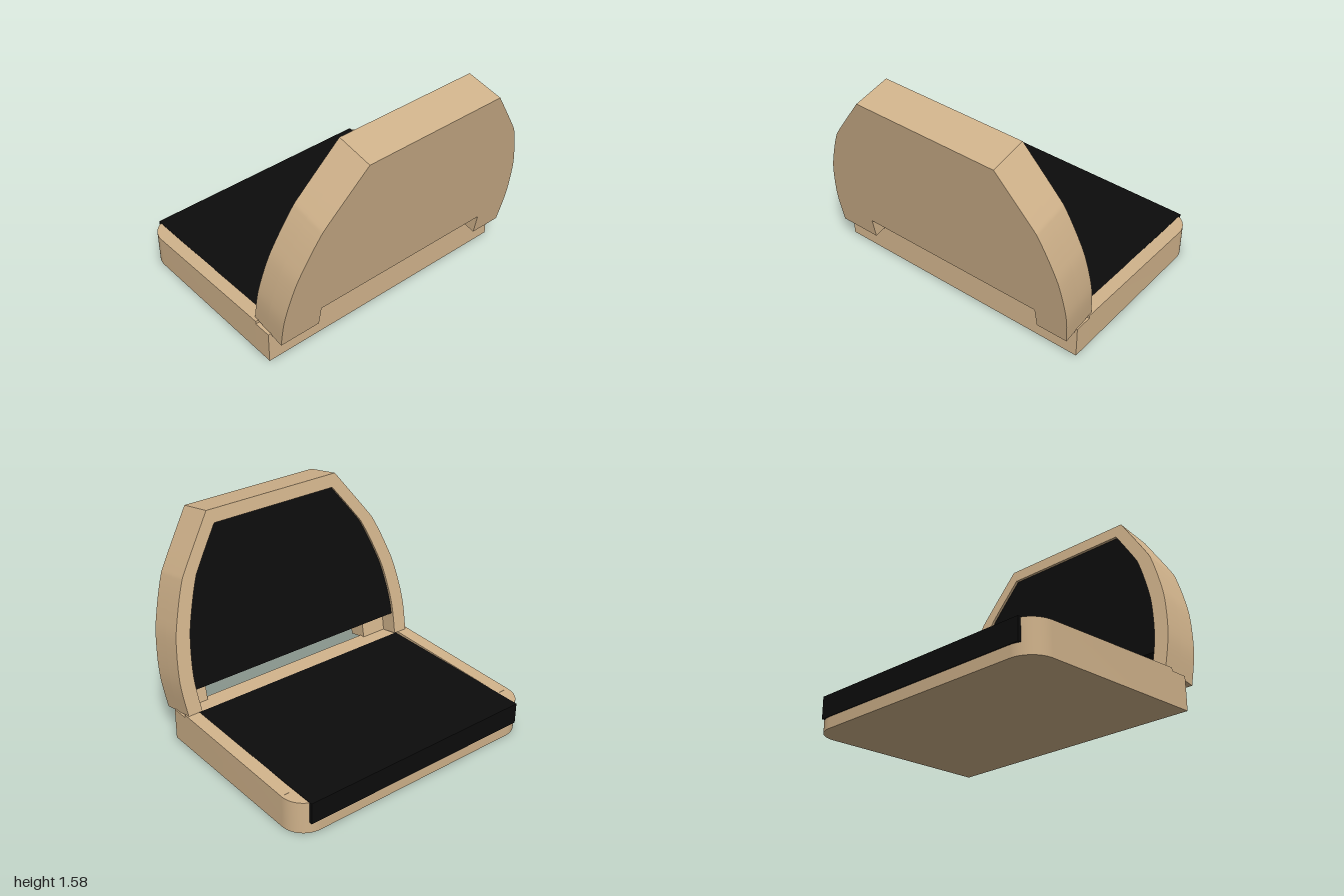
import * as THREE from 'three';
import { toCreasedNormals } from 'three/addons/utils/BufferGeometryUtils.js';

const wood = new THREE.MeshStandardMaterial({ color: 0xd2b48c });
const black = new THREE.MeshStandardMaterial({ color: 0x0c0c0c });

// Half width of the backrest against its height
const profile = new THREE.SplineCurve([
  [0.972, 0], [0.983, 0.25], [0.95, 0.52], [0.9, 0.7],
  [0.825, 0.9], [0.768, 1.0], [0.535, 1.335],
].map(([h, v]) => new THREE.Vector2(h, v)));

// Arched outline, leaning slightly sideways, optionally inset and cut off at top and bottom
function arch(inset, bottom, top) {
  const side = profile.getPoints(36).filter((p) => p.y > bottom && p.y < top);
  const at = (v) => {
    const pts = profile.getPoints(200);
    return pts.reduce((a, b) => (Math.abs(b.y - v) < Math.abs(a.y - v) ? b : a)).x;
  };
  const half = [[at(bottom), bottom], ...side.map((p) => [p.x, p.y]), [at(top), top]];
  const point = (s) => ([h, v]) => new THREE.Vector2(s * (h - inset) - 0.006 - 0.043 * v, v);
  return [...half.map(point(1)), ...half.map(point(-1)).reverse()];
}

// Extrude a (z, y) outline so that it fills x from x0 to x1
function slab(name, points, x0, x1, material) {
  const geo = new THREE.ExtrudeGeometry(new THREE.Shape(points), { depth: x1 - x0, bevelEnabled: false });
  geo.rotateY(-Math.PI / 2).translate(x1, 0, 0);
  const mesh = new THREE.Mesh(toCreasedNormals(geo, 0.4), material);
  mesh.name = name;
  return mesh;
}

// Extrude an (x, y) outline along z, centred on z
function bar(name, points, width, z, material) {
  const shape = new THREE.Shape(points.map(([x, y]) => new THREE.Vector2(x, y)));
  const geo = new THREE.ExtrudeGeometry(shape, { depth: width, bevelEnabled: false });
  geo.translate(0, 0, z - width / 2);
  const mesh = new THREE.Mesh(geo, material);
  mesh.name = name;
  return mesh;
}

function createSeat() {
  const seat = new THREE.Group();
  seat.name = 'seat';

  // Board with rounded front corners
  const x0 = -0.862, x1 = 0.53, w = 0.988, r = 0.17;
  const plan = new THREE.Shape();
  plan.moveTo(x1, -w);
  plan.lineTo(x1, w);
  plan.lineTo(x0 + r, w);
  plan.absarc(x0 + r, w - r, r, Math.PI / 2, Math.PI, false);
  plan.lineTo(x0, -w + r);
  plan.absarc(x0 + r, -w + r, r, Math.PI, Math.PI * 1.5, false);
  const geo = new THREE.ExtrudeGeometry(plan, { depth: 0.231, bevelEnabled: false, curveSegments: 12 });
  geo.rotateX(-Math.PI / 2);
  const board = new THREE.Mesh(toCreasedNormals(geo, 0.4), wood);
  board.name = 'seatBoard';
  seat.add(board);

  // Cushion wrapping over the front edge
  seat.add(bar('seatCushion', [
    [-0.868, 0.08], [-0.83, 0.08], [-0.83, 0.2], [0.39, 0.2], [0.39, 0.235], [-0.868, 0.235],
  ], 1.78, 0, black));

  // Side rims rising toward the backrest
  for (const s of [1, -1]) {
    seat.add(bar('seatRim', [[-0.69, 0.225], [0.4, 0.225], [0.4, 0.253], [-0.69, 0.232]],
      0.096, s * 0.94, wood));
  }
  seat.position.y = 0.0095;
  seat.rotation.z = 0.011;
  return seat;
}

function createBackrest() {
  const back = new THREE.Group();
  back.name = 'backrest';
  const depth = 0.272, wall = 0.13, notch = 0.157, top = 1.335;
  const V = (x, y) => new THREE.Vector2(x, y);

  // Rear wall with a wide notch at the bottom
  back.add(slab('backWall', [
    ...arch(0, 0, top), V(-0.745, 0), V(-0.745, notch), V(0.66, notch), V(0.66, 0),
  ], wall, depth, wood));

  // Raised rim around the cushion, open at the bottom
  const inner = arch(0.108, 0, 1.24).reverse();
  back.add(slab('backRim', [...arch(0, 0, top), ...inner], 0, wall, wood));

  // Cushion set just behind the rim
  back.add(slab('backCushion', arch(0.107, notch, 1.241), 0.018, wall, black));

  back.position.set(0.362, 0.267, 0);
  back.rotation.z = -0.183;
  return back;
}

export function createModel() {
  const model = new THREE.Group();
  model.name = 'floorChair';
  model.add(createSeat(), createBackrest());
  model.rotation.y = 0.011;
  return model;
}
